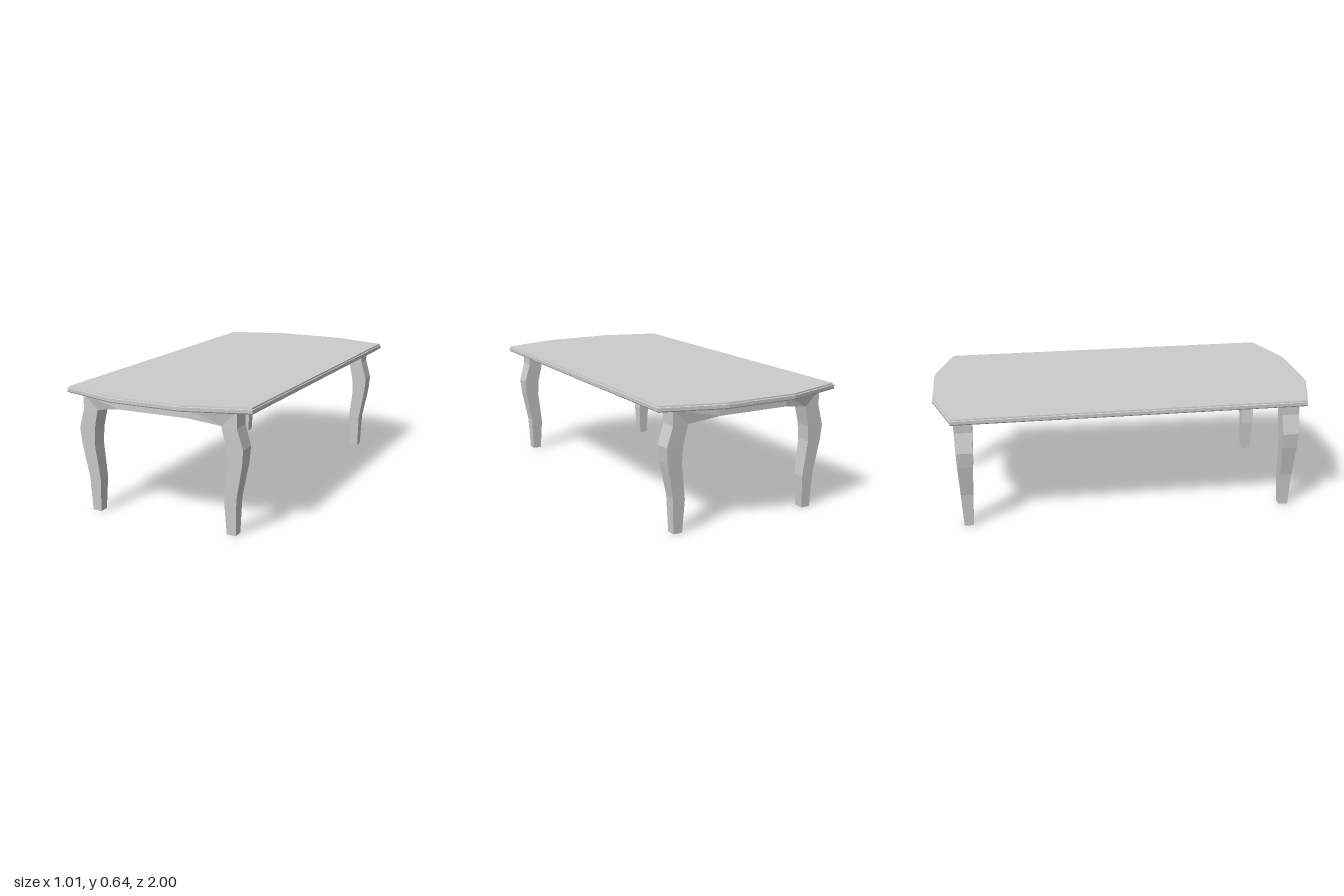
import * as THREE from 'three';

const material = new THREE.MeshStandardMaterial({ color: 0xcccccc, flatShading: true });

// Skin a solid through matching rings of points (counter-clockwise seen from ahead) and cap both ends
function loft(rings) {
  const n = rings[0].length;
  const index = [];
  for (let i = 0; i < rings.length - 1; i++) {
    for (let k = 0; k < n; k++) {
      const a = i * n + k, b = i * n + (k + 1) % n;
      index.push(a, b, b + n, a, b + n, a + n);
    }
  }
  const last = (rings.length - 1) * n;
  for (let k = 1; k < n - 1; k++) {
    index.push(0, k + 1, k, last, last + k, last + k + 1);
  }
  const geometry = new THREE.BufferGeometry();
  geometry.setAttribute('position', new THREE.Float32BufferAttribute(rings.flat(2), 3));
  geometry.setIndex(index);
  const flat = geometry.toNonIndexed();
  flat.computeVertexNormals();
  return flat;
}

// Table top: octagonal outline with a small stepped edge
function tableTop() {
  const ring = ([y, inset]) => {
    const w = 0.505 - inset, e = 0.905 - inset, l = 1 - inset, c = 0.19;
    return [[w, e], [w, -e], [c, -l], [-c, -l], [-w, -e], [-w, e], [-c, l], [c, l]]
      .map(([x, z]) => [x, y, z]);
  };
  const edge = [[0.607, 0.003], [0.612, 0], [0.628, 0], [0.63, 0.005], [0.637, 0.006]];
  const mesh = new THREE.Mesh(loft(edge.map(ring)), material);
  mesh.name = 'tableTop';
  return mesh;
}

// Pair of curved legs joined by a bowed apron, swept as one arch
function legArch() {
  // outer x, outer y, inner x, inner y, half depth, z centre
  const half = [
    [0.403, 0, 0.355, 0, 0.024, 0.848],
    [0.41, 0.18, 0.346, 0.168, 0.032, 0.848],
    [0.443, 0.35, 0.368, 0.35, 0.039, 0.848],
    [0.45, 0.43, 0.363, 0.43, 0.042, 0.848],
    [0.42, 0.53, 0.341, 0.528, 0.045, 0.848],
    [0.42, 0.608, 0.34, 0.533, 0.045, 0.848],
    [0.19, 0.608, 0.19, 0.56, 0.045, 0.886],
  ];
  const mirrored = half.map(([ox, oy, ix, iy, d, z]) => [-ox, oy, -ix, iy, d, z]).reverse();
  const rings = [...half, ...mirrored].map(([ox, oy, ix, iy, d, z]) => [
    [ox, oy, z + d], [ox, oy, z - d], [ix, iy, z - d], [ix, iy, z + d],
  ]);
  return loft(rings);
}

export function createModel() {
  const table = new THREE.Group();
  table.name = 'table';
  table.add(tableTop());

  // Same arch at both ends
  const arch = legArch();
  ['frontLegsAndApron', 'backLegsAndApron'].forEach((name, i) => {
    const mesh = new THREE.Mesh(arch, material);
    mesh.name = name;
    mesh.rotation.y = i * Math.PI;
    table.add(mesh);
  });
  return table;
}
